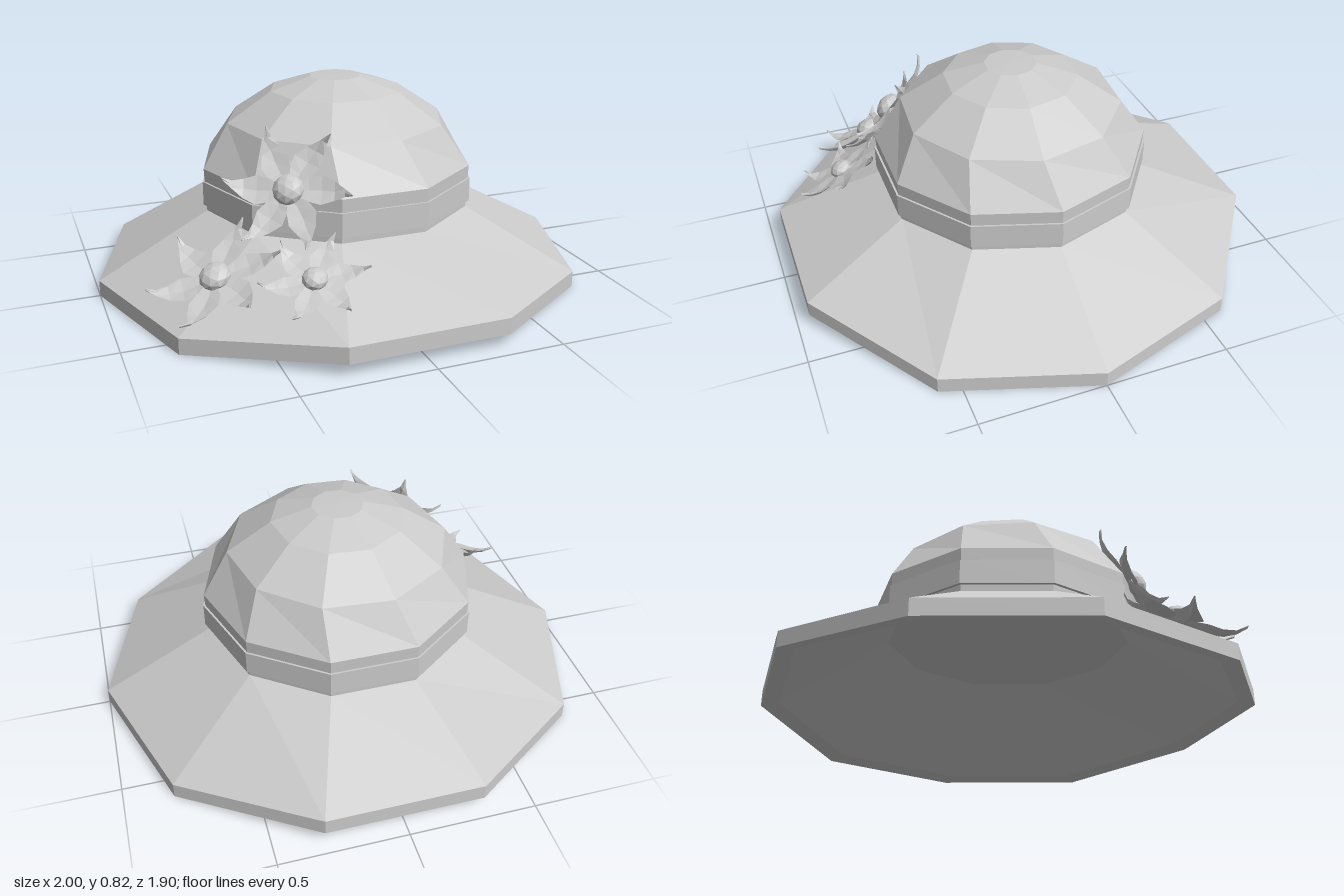
import * as THREE from 'three';

const SIDES = 10;

function material(side = THREE.FrontSide) {
  return new THREE.MeshStandardMaterial({ color: 0xcccccc, flatShading: true, side });
}

function named(name, geometry, mat = material()) {
  const mesh = new THREE.Mesh(geometry, mat);
  mesh.name = name;
  return mesh;
}

// Ten-sided revolve with a corner on the x axis; rule(v) may move each vertex
function revolve(profile, rule) {
  const points = profile.map(([r, y]) => new THREE.Vector2(r, y));
  const geometry = new THREE.LatheGeometry(points, SIDES, Math.PI / 2);
  const pos = geometry.attributes.position;
  const v = new THREE.Vector3();
  if (rule) {
    for (let i = 0; i < pos.count; i++) {
      rule(v.fromBufferAttribute(pos, i));
      pos.setXYZ(i, v.x, v.y, v.z);
    }
  }
  geometry.computeVertexNormals();
  return geometry;
}

// Petal along +x: diamond sections with a raised fold, curling up and sideways at the tip
function petalGeometry(length) {
  const stations = [[0.08, 0.07], [0.3, 0.18], [0.5, 0.23], [0.7, 0.15], [0.87, 0.06], [1, 0.012]];
  const positions = [];
  const indices = [];
  stations.forEach(([t, half], i) => {
    const x = t * length;
    const w = half * length;
    const y = length * (0.3 * t ** 4 - 0.12 * t);
    const z = length * 0.15 * t ** 4;
    const thick = 0.007;
    positions.push(
      x, y + w * 0.3, z - w,
      x, y + thick, z,
      x, y + w * 0.3, z + w,
      x, y - thick, z,
    );
    if (i === 0) return;
    for (let k = 0; k < 4; k++) {
      const a = (i - 1) * 4 + k;
      const b = (i - 1) * 4 + (k + 1) % 4;
      indices.push(a, b, a + 4, b, b + 4, a + 4);
    }
  });
  const geometry = new THREE.BufferGeometry();
  geometry.setAttribute('position', new THREE.Float32BufferAttribute(positions, 3));
  geometry.setIndex(indices);
  geometry.computeVertexNormals();
  return geometry;
}

// Six-petalled flower facing along the given normal
function flower(name, centre, normal, radius, phaseDegrees) {
  const group = new THREE.Group();
  group.name = name;
  const geometry = petalGeometry(radius);
  const mat = material(THREE.DoubleSide);
  for (let i = 0; i < 6; i++) {
    const petal = named('petal', geometry, mat);
    petal.rotation.y = THREE.MathUtils.degToRad(phaseDegrees + i * 60);
    group.add(petal);
  }
  const bead = named('flowerCentre', new THREE.IcosahedronGeometry(radius * 0.24, 1));
  bead.scale.y = 0.7;
  bead.position.y = 0.012;
  group.add(bead);
  group.position.set(...centre);
  group.quaternion.setFromUnitVectors(
    new THREE.Vector3(0, 1, 0),
    new THREE.Vector3(...normal).normalize(),
  );
  return group;
}

export function createModel() {
  const hat = new THREE.Group();
  hat.name = 'sunHat';

  // Brim with hollow underside; the rim rises at the front and back
  const brimProfile = [[0, 0.39], [0.5, 0.33], [0.93, 0.015], [1, 0], [1, 0.064], [0.55, 0.305]];
  hat.add(named('brim', revolve(brimProfile, (v) => {
    if (Math.hypot(v.x, v.z) > 0.8 && Math.abs(v.z) > 0.8) v.y += 0.052;
  })));

  // Domed crown, each upper ring turned slightly
  const crownProfile = [
    [0.552, 0.3], [0.56, 0.48], [0.45, 0.648], [0.27, 0.768], [0.105, 0.82], [0, 0.823],
  ];
  const up = new THREE.Vector3(0, 1, 0);
  hat.add(named('crown', revolve(crownProfile, (v) => {
    if (v.y > 0.5) v.applyAxisAngle(up, -0.08);
  })));

  // Ribbon around the base of the crown
  const bandProfile = [[0.55, 0.33], [0.566, 0.33], [0.566, 0.427], [0.55, 0.427]];
  hat.add(named('hatBand', revolve(bandProfile)));

  // Flowers on the right front of the hat
  hat.add(
    flower('crownFlower', [-0.34, 0.5, 0.42], [-0.48, 0.58, 0.65], 0.25, 30),
    flower('brimFlowerOuter', [-0.635, 0.212, 0.46], [-0.38, 0.88, 0.28], 0.255, -8),
    flower('brimFlowerFront', [-0.325, 0.238, 0.66], [-0.2, 0.88, 0.42], 0.2, -4),
  );
  return hat;
}
